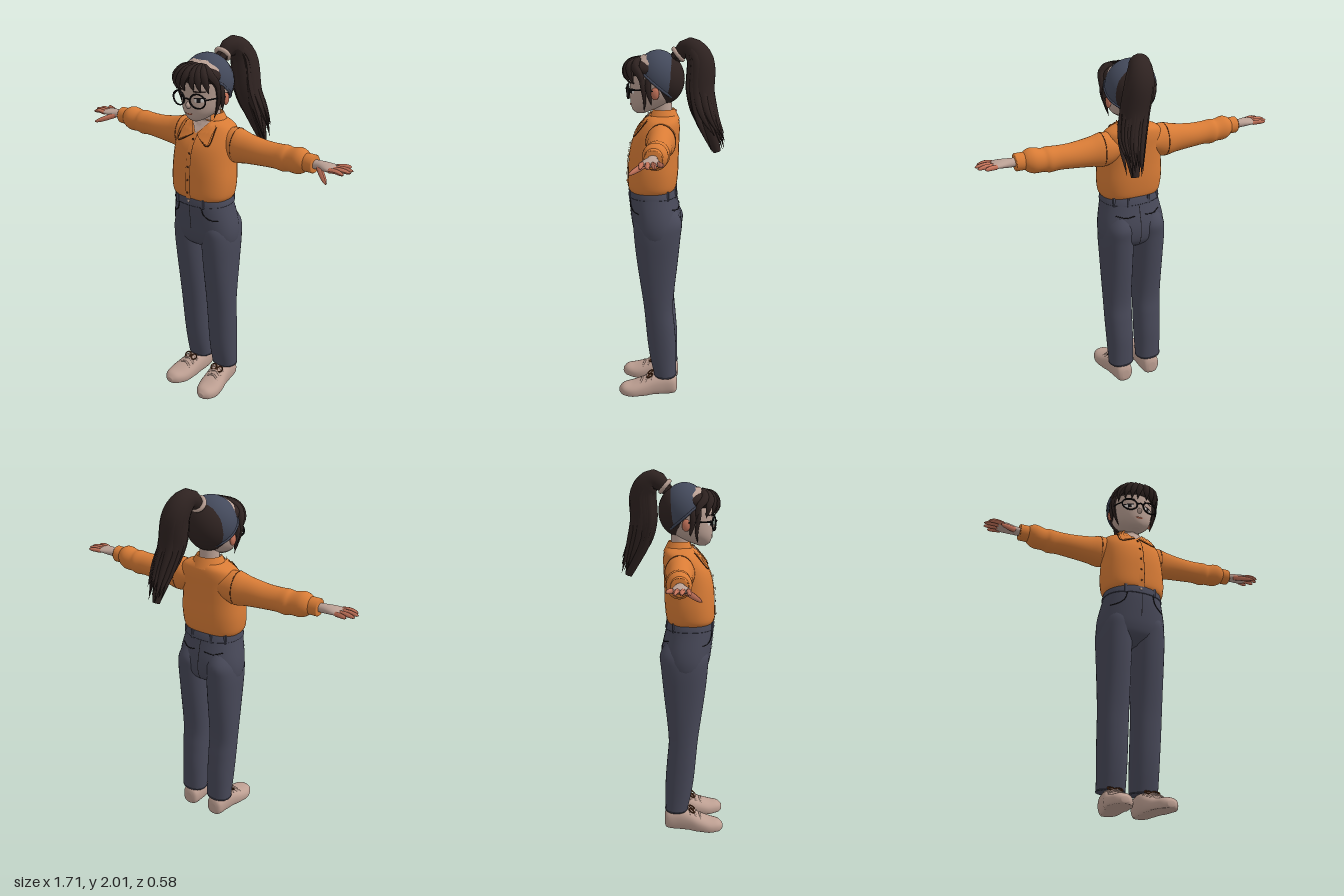
import * as THREE from 'three';

const paint = (name, color) => new THREE.MeshStandardMaterial({ name, color, side: THREE.DoubleSide });
const M = {
  shirt: paint('orange shirt', 0xd97c36), seam: paint('dark seam', 0x5a3018),
  denim: paint('denim', 0x484959), wrap: paint('head wrap', 0x444a5c),
  skin: paint('skin', 0xbba195), blush: paint('blush skin', 0xc4735a),
  hair: paint('hair', 0x2f2321), frame: paint('black', 0x161416),
  shoe: paint('shoe', 0xbd9f92), white: paint('eye white', 0xd8d0cc),
};
const V = (x, y, z) => new THREE.Vector3(x, y, z);

function add(parent, name, geo, mat) {
  const m = new THREE.Mesh(geo, mat);
  m.name = name;
  parent.add(m);
  return m;
}

// Catmull-Rom over rows of [t, centreA, centreB, radiusA, radiusB]
function smooth(rows, steps = 5) {
  const out = [], at = i => rows[Math.max(0, Math.min(rows.length - 1, i))];
  for (let i = 0; i < rows.length - 1; i++) {
    for (let s = 0; s < steps; s++) {
      const t = s / steps;
      out.push(at(i).map((p1, k) => {
        const p0 = at(i - 1)[k], p2 = at(i + 1)[k], p3 = at(i + 2)[k];
        return p1 + 0.5 * t * (p2 - p0 + t * (2 * p0 - 5 * p1 + 4 * p2 - p3 + t * (3 * (p1 - p2) + p3 - p0)));
      }));
    }
  }
  out.push(rows[rows.length - 1]);
  return out;
}

// Rounded cross-sections joined along an axis; e below 1 gives squarer sections
function loft(rows, axis = 'y', e = 1, n = 32) {
  const pos = [], idx = [];
  const put = (t, a, b) => pos.push(...(axis === 'y' ? [a, t, b] : axis === 'x' ? [t, a, b] : [a, b, t]));
  const pw = v => Math.sign(v) * Math.abs(v) ** e;
  const tri = (a, b, c) => idx.push(...(axis === 'y' ? [a, c, b] : [a, b, c]));
  rows.forEach(([t, a, b, ra, rb]) => {
    for (let i = 0; i < n; i++) {
      const w = i / n * Math.PI * 2;
      put(t, a + ra * pw(Math.cos(w)), b + rb * pw(Math.sin(w)));
    }
  });
  const last = rows.length - 1;
  for (let r = 0; r < last; r++) for (let i = 0; i < n; i++) {
    const a = r * n + i, b = r * n + (i + 1) % n;
    tri(a, b, b + n); tri(a, b + n, a + n);
  }
  put(...rows[0]); put(...rows[last]);
  for (let i = 0; i < n; i++) {
    tri((last + 1) * n, (i + 1) % n, i);
    tri((last + 1) * n + 1, last * n + i, last * n + (i + 1) % n);
  }
  const g = new THREE.BufferGeometry();
  g.setAttribute('position', new THREE.Float32BufferAttribute(pos, 3));
  g.setIndex(idx);
  g.computeVertexNormals();
  return g;
}

// z of a vertical loft's front (side 1) or back (side -1) at x, y
function surf(rows, x, y, e, side = 1) {
  const r = rows.reduce((p, q) => Math.abs(q[0] - y) < Math.abs(p[0] - y) ? q : p);
  const u = Math.min(0.98, Math.abs((x - r[1]) / r[3]));
  return r[2] + side * r[4] * (1 - u ** (2 / e)) ** (e / 2);
}

// Thin four-cornered patch laid over a loft
function patch(rows, c, e, off = 0.006, side = 1) {
  const g = new THREE.PlaneGeometry(1, 1, 8, 8), p = g.attributes.position;
  for (let i = 0; i < p.count; i++) {
    const u = p.getX(i) + 0.5, v = p.getY(i) + 0.5;
    const mix = k => (c[0][k] * (1 - u) + c[1][k] * u) * (1 - v) + (c[3][k] * (1 - u) + c[2][k] * u) * v;
    const x = mix(0), y = mix(1);
    p.setXYZ(i, x, y, surf(rows, x, y, e, side) + off * side);
  }
  g.computeVertexNormals();
  return g;
}

// Tube whose radius follows a function of its length
function strand(points, radius, steps = 16, sides = 7) {
  const curve = new THREE.CatmullRomCurve3(points);
  const g = new THREE.TubeGeometry(curve, steps, 1, sides), p = g.attributes.position, v = V(0, 0, 0);
  for (let i = 0; i < p.count; i++) {
    const t = Math.floor(i / (sides + 1)) / steps, c = curve.getPointAt(t);
    v.fromBufferAttribute(p, i).sub(c).multiplyScalar(typeof radius === 'function' ? radius(t) : radius).add(c);
    p.setXYZ(i, v.x, v.y, v.z);
  }
  g.computeVertexNormals();
  return g;
}
const lock = r => t => r * Math.max(0.02, Math.min(1, 0.45 + t * 2) * (1 - t ** 3));
const ball = (x, y, z, a, b, c) => new THREE.SphereGeometry(1, 28, 20).scale(a, b, c).translate(x, y, z);

const torso = smooth([[1.19, 0, .105, .155, .115], [1.22, 0, .105, .175, .132], [1.3, 0, .1, .182, .137],
  [1.4, 0, .095, .176, .135], [1.48, 0, .083, .172, .126], [1.54, 0, .063, .168, .108], [1.58, 0, .05, .145, .09], [1.605, 0, .047, .085, .075]]);
const hips = smooth([[.89, 0, .075, .13, .06], [.93, 0, .078, .18, .112], [.98, 0, .08, .193, .132],
  [1.05, 0, .085, .189, .138], [1.15, 0, .1, .168, .132], [1.21, 0, .105, .156, .124]]);
const face = smooth([[1.614, 0, .165, .02, .02], [1.63, 0, .153, .052, .053], [1.66, 0, .125, .088, .092],
  [1.7, 0, .105, .109, .116], [1.76, 0, .09, .121, .131], [1.82, 0, .085, .125, .134], [1.88, 0, .08, .11, .12], [1.92, 0, .08, .06, .07]]);

function buildSide(left) {
  // Sleeve and cuff
  add(left, 'sleeve', loft(smooth([[.08, 1.5, .045, .06, .07], [.17, 1.489, .048, .092, .078], [.25, 1.485, .05, .079, .069],
    [.35, 1.483, .05, .067, .064], [.43, 1.485, .05, .064, .06], [.48, 1.485, .05, .068, .063], [.51, 1.487, .051, .062, .058],
    [.56, 1.492, .054, .067, .062], [.59, 1.494, .056, .058, .055], [.61, 1.495, .057, .042, .041]]), 'x'), M.shirt);
  add(left, 'cuff', loft([[.602, 1.496, .058, .042, .04], [.606, 1.496, .058, .046, .044], [.65, 1.496, .058, .046, .044],
    [.655, 1.496, .058, .042, .04]], 'x'), M.shirt);
  add(left, 'shoulderSeam', new THREE.TorusGeometry(1, .03, 6, 40).rotateY(Math.PI / 2).scale(.07, .09, .077).translate(.185, 1.489, .048), M.seam);
  // Hand
  add(left, 'palm', loft(smooth([[.64, 1.497, .06, .021, .025], [.68, 1.498, .06, .023, .029], [.73, 1.5, .064, .019, .044],
    [.765, 1.5, .064, .013, .046], [.78, 1.5, .064, .006, .04]]), 'x'), M.skin);
  [[.82, 1.505, .002], [.848, 1.5, .038], [.853, 1.5, .07], [.835, 1.496, .105]].forEach(([x, y, z], i) => {
    const z0 = .028 + i * .024;
    add(left, 'finger', strand([V(.755, 1.5, z0), V((.755 + x) / 2, 1.504, (z0 + z) / 2), V(x, y, z)], t => .0125 * Math.sqrt(1.03 - t ** 4)), M.blush);
  });
  add(left, 'thumb', strand([V(.69, 1.492, .08), V(.735, 1.473, .122), V(.778, 1.455, .16)], t => .015 * Math.sqrt(1.03 - t ** 3)), M.blush);

  // Trouser leg
  add(left, 'trouserLeg', loft(smooth([[.108, .09, .032, .075, .063], [.2, .09, .042, .077, .073], [.3, .091, .05, .079, .08],
    [.42, .093, .06, .081, .081], [.55, .094, .07, .083, .083], [.8, .095, .074, .09, .113], [.95, .096, .074, .093, .128],
    [1.03, .093, .072, .085, .132], [1.1, .085, .075, .06, .1]]), 'y', .9), M.denim);
  add(left, 'hem', new THREE.TorusGeometry(1, .05, 6, 32).rotateX(Math.PI / 2).scale(.075, .08, .064).translate(.09, .112, .032), M.denim);
  // Pockets and belt loops
  add(left, 'frontPocketSeam', strand([[.075, 1.165], [.09, 1.12], [.125, 1.095], [.155, 1.09]].map(([x, y]) => V(x, y, surf(hips, x, y, .9) + .001)), .0025), M.frame);
  add(left, 'backPocketSeam', strand([[.03, 1.105], [.08, 1.1], [.13, 1.11]].map(([x, y]) => V(x, y, surf(hips, x, y, .9, -1) - .002)), .0025), M.frame);
  [[.085, 1], [.06, -1], [.13, -1]].forEach(([x, s]) => {
    add(left, 'beltLoop', new THREE.BoxGeometry(.013, .05, .008).translate(x, 1.185, surf(hips, x, 1.185, .9, s) + s * .006), M.denim);
  });
  // Shoe with flat bottom and laces
  const shoe = loft(smooth([[-.036, .09, .045, .02, .03], [-.02, .09, .05, .048, .06], [.04, .092, .05, .056, .072], [.1, .098, .045, .062, .066],
    [.16, .107, .03, .069, .055], [.22, .115, .02, .068, .045], [.27, .12, .02, .048, .036], [.296, .12, .02, .018, .014]]), 'z', .85);
  const p = shoe.attributes.position;
  for (let i = 0; i < p.count; i++) p.setY(i, Math.max(0, p.getY(i)));
  shoe.computeVertexNormals();
  add(left, 'shoe', shoe, M.shoe);
  [0, 1, 2].forEach(i => {
    const z = .105 + i * .03, y = .112 - i * .012, x = .098 + i * .005;
    add(left, 'lace', strand([V(x - .045, y - .022, z + .01), V(x, y, z), V(x + .045, y - .022, z + .01)], .006), M.shoe);
  });
  [-1, 1].forEach(s => add(left, 'laceLoop', new THREE.TorusGeometry(.018, .004, 6, 16).rotateX(-1).translate(.1 + s * .022, .108, .12), M.seam));

  // Collar wing with edge
  const wing = [[.012, 1.545], [.1, 1.5], [.1, 1.585], [.062, 1.615]];
  add(left, 'collarWing', patch(torso, wing, .85, .012), M.shirt);
  add(left, 'collarEdge', strand(wing.slice(0, 3).map(([x, y]) => V(x, y, surf(torso, x, y, .85) + .011)), .0025), M.seam);

  // Ear, eye and brow
  add(left, 'ear', ball(.125, 1.73, .08, .013, .032, .022), M.blush);
  add(left, 'eyeWhite', patch(face, [[.035, 1.726], [.076, 1.726], [.08, 1.744], [.036, 1.744]], 1, .003), M.white);
  add(left, 'iris', patch(face, [[.046, 1.724], [.064, 1.724], [.064, 1.745], [.046, 1.745]], 1, .005), M.frame);
  add(left, 'upperLash', patch(face, [[.032, 1.742], [.084, 1.744], [.086, 1.75], [.036, 1.749]], 1, .005), M.frame);
  add(left, 'eyebrow', patch(face, [[.03, 1.774], [.085, 1.776], [.085, 1.782], [.03, 1.783]], 1, .004), M.hair);
  // Spectacle rim and temple
  add(left, 'rim', new THREE.TorusGeometry(1, .1, 8, 36).scale(.044, .036, .05).rotateY(.2).translate(.062, 1.735, .226), M.frame);
  add(left, 'temple', strand([V(.104, 1.745, .215), V(.127, 1.748, .16), V(.132, 1.742, .08)], .004), M.frame);
  // Face-framing locks
  add(left, 'sideLock', strand([V(.1, 1.86, .15), V(.13, 1.78, .145), V(.117, 1.7, .135), V(.095, 1.63, .14)], lock(.014)), M.hair);
  add(left, 'templeLock', strand([V(.11, 1.84, .11), V(.128, 1.76, .115), V(.12, 1.67, .1)], lock(.018)), M.hair);
}

export function createModel() {
  const model = new THREE.Group();
  model.name = 'woman';
  const left = new THREE.Group();
  left.name = 'leftSide';
  buildSide(left);
  const right = left.clone();
  right.name = 'rightSide';
  right.scale.x = -1;
  model.add(left, right);

  // Shirt body, collar, placket and buttons
  add(model, 'shirtBody', loft(torso, 'y', .85), M.shirt);
  add(model, 'collarStand', new THREE.CylinderGeometry(.068, .098, .055, 32, 1, true, .6, Math.PI * 2 - 1.2).scale(1, 1, .92).translate(0, 1.61, .046), M.shirt);
  add(model, 'neckSkin', patch(torso, [[0, 1.545], [.06, 1.605], [0, 1.62], [-.06, 1.605]], .85, .005), M.skin);
  add(model, 'placket', patch(torso, [[-.016, 1.205], [.016, 1.205], [.014, 1.545], [-.014, 1.545]], .85, .005), M.shirt);
  add(model, 'placketSeam', patch(torso, [[.015, 1.205], [.0185, 1.205], [.0165, 1.54], [.013, 1.54]], .85, .007), M.seam);
  for (let y = 1.24; y < 1.54; y += .07) add(model, 'button', ball(0, y, surf(torso, 0, y, .85) + .006, .006, .006, .003), M.seam);

  // Trouser top, waistband and fly
  add(model, 'trouserTop', loft(hips, 'y', .9), M.denim);
  add(model, 'waistband', loft([[1.165, 0, .101, .167, .134], [1.168, 0, .101, .17, .136], [1.21, 0, .105, .16, .128], [1.212, 0, .105, .15, .12]], 'y', .9), M.denim);
  add(model, 'fly', patch(hips, [[.004, 1.03], [.008, 1.03], [.008, 1.165], [.004, 1.165]], .9, .004), M.frame);
  add(model, 'waistButton', ball(0, 1.19, .234, .008, .008, .004), M.skin);
  add(model, 'backSeam', patch(hips, [[-.002, .93], [.002, .93], [.002, 1.16], [-.002, 1.16]], .9, .004, -1), M.frame);

  // Neck and face
  add(model, 'neck', new THREE.CylinderGeometry(.05, .055, .16, 24).translate(0, 1.63, .05), M.skin);
  add(model, 'head', loft(face, 'y', 1), M.skin);
  add(model, 'nose', ball(0, 1.706, .222, .013, .018, .018), M.skin);
  add(model, 'lips', patch(face, [[-.014, 1.655], [.014, 1.655], [.025, 1.664], [-.025, 1.664]], 1, .004), M.blush);
  add(model, 'bridge', strand([V(-.02, 1.738, .236), V(0, 1.745, .241), V(.02, 1.738, .236)], .004), M.frame);

  // Hair cap and head wrap
  add(model, 'backHair', ball(0, 1.795, .04, .124, .132, .11), M.hair);
  add(model, 'headWrap', new THREE.SphereGeometry(1, 40, 24, 0, Math.PI * 2, 0, 1.75).rotateX(-.62).scale(.139, .145, .122).translate(0, 1.8, .07), M.wrap);
  add(model, 'wrapEdge', new THREE.TorusGeometry(.985, .05, 8, 48).rotateX(Math.PI / 2).translate(0, -.17, 0).rotateX(-.62).scale(.139, .145, .122).translate(0, 1.8, .07), M.wrap);

  // Fringe swept from a parting
  add(model, 'fringeBase', ball(0, 1.845, .128, .122, .062, .102), M.hair);
  [[-.135, 1.765, .14], [-.115, 1.775, .19], [-.085, 1.785, .22], [-.05, 1.785, .235], [-.015, 1.79, .24],
    [.04, 1.795, .237], [.075, 1.79, .225], [.105, 1.785, .2], [.13, 1.765, .15]].forEach(([x, y, z]) => {
    add(model, 'fringeLock', strand([V(.02 + x * .3, 1.905, .165), V(x * .75 + .01, 1.865, z * .55 + .1), V(x * .97, 1.82, z + .006), V(x, y - .012, z - .008)], lock(.024)), M.hair);
  });

  // Ponytail: a core wrapped in overlapping locks, and its tie
  const spine = [[.01, 1.9, -.02, .018], [.03, 1.957, -.09, .024], [.055, 1.9, -.15, .042], [.085, 1.74, -.155, .052],
    [.115, 1.6, -.185, .056], [.13, 1.43, -.245, .04]];
  add(model, 'ponytailCore', strand(spine.map(([x, y, z]) => V(x, y, z)), t => .02 + .055 * Math.sin(Math.PI * t ** .8), 28, 16), M.hair);
  let seed = 7;
  const rnd = () => (seed = (seed * 16807) % 2147483647) / 2147483647;
  for (let i = 0; i < 24; i++) {
    const w = i * 2.4, reach = .75 + rnd() * .35, drop = rnd() * .13;
    const pts = spine.map(([x, y, z, s], k) => V(x + Math.cos(w) * s * reach, y + (k < 3 ? Math.sin(w) * s * .4 : 0) + (k === 5 ? drop : k === 4 ? drop * .3 : 0),
      z + Math.sin(w) * s * reach));
    add(model, 'ponytailLock', strand(pts, lock(.024 + rnd() * .01), 24), M.hair);
  }
  add(model, 'hairTie', new THREE.TorusGeometry(.036, .012, 10, 24).rotateX(.7).translate(.012, 1.922, -.035), M.skin);
  return model;
}
